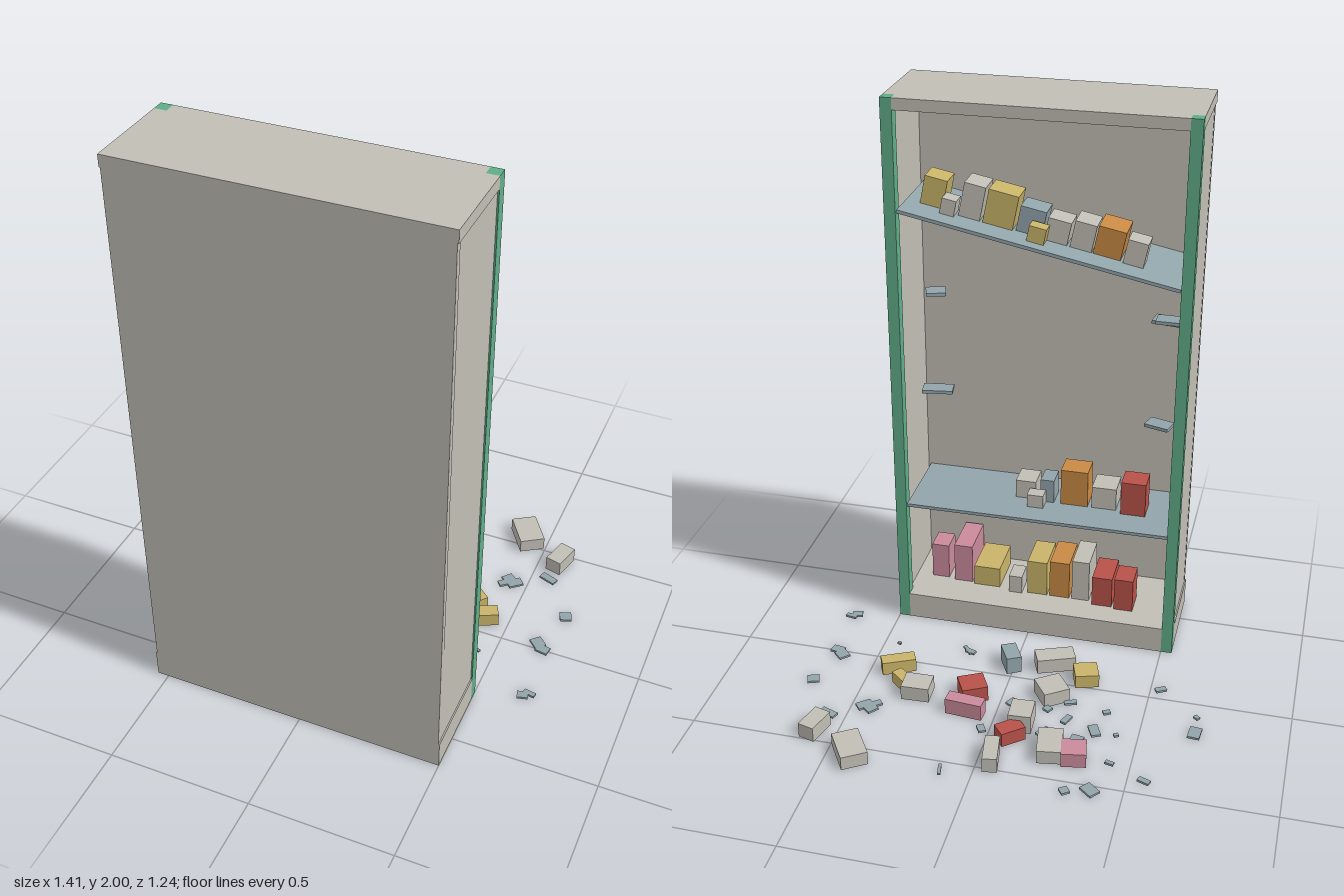
import * as THREE from 'three';

const mat = (name, hex) => Object.assign(new THREE.MeshStandardMaterial({ color: hex }), { name });

export function createModel() {
  const root = new THREE.Group();
  root.name = 'brokenCabinet';
  const M = {
    grey: mat('warmGrey', 0xc1beb5), green: mat('postGreen', 0x60ad87), glass: mat('glassBlue', 0x92a5ab),
    pink: mat('boxPink', 0xca8a9c), red: mat('boxRed', 0xb8524a), yellow: mat('boxYellow', 0xc9b469),
    orange: mat('boxOrange', 0xc98a45),
  };
  const group = (name, parent = root) => {
    const g = new THREE.Group();
    g.name = name;
    parent.add(g);
    return g;
  };
  // Box from its minimum and maximum corners
  const box = (parent, name, m, x0, x1, y0, y1, z0, z1) => {
    const mesh = new THREE.Mesh(new THREE.BoxGeometry(x1 - x0, y1 - y0, z1 - z0), M[m]);
    mesh.position.set((x0 + x1) / 2, (y0 + y1) / 2, (z0 + z1) / 2);
    mesh.name = name;
    parent.add(mesh);
    return mesh;
  };

  // Cabinet: the open side faces -z, the plain back panel faces +z
  const L = -0.54, R = 0.5, P = 0.04, Z0 = 0.275, Z1 = 0.622;
  const cabinet = group('cabinet');
  // Slab with its two open-side corners cut out for the posts
  const slab = (name, y0, y1) => {
    const pts = [[L + P, Z0], [R - P, Z0], [R - P, Z0 + P], [R, Z0 + P], [R, Z1], [L, Z1], [L, Z0 + P], [L + P, Z0 + P]];
    const shape = new THREE.Shape(pts.map(([x, z]) => new THREE.Vector2(x, -z)));
    const geo = new THREE.ExtrudeGeometry(shape, { depth: y1 - y0, bevelEnabled: false });
    const mesh = new THREE.Mesh(geo.rotateX(-Math.PI / 2), M.grey);
    mesh.position.y = y0;
    mesh.name = name;
    cabinet.add(mesh);
  };
  slab('plinth', 0, 0.1);
  slab('topSlab', 1.96, 2);
  box(cabinet, 'backPanel', 'grey', L + 0.004, R - 0.004, 0.1, 1.96, 0.6, Z1);
  box(cabinet, 'rightSidePanel', 'grey', L + 0.005, L + 0.03, 0.1, 1.96, Z0 + P - 0.004, 0.6);
  box(cabinet, 'leftSidePanel', 'grey', R - 0.03, R - 0.005, 0.1, 1.96, Z0 + P - 0.004, 0.6);
  box(cabinet, 'rightPost', 'green', L, L + P, 0, 2, Z0, Z0 + P);
  box(cabinet, 'leftPost', 'green', R - P, R, 0, 2, Z0, Z0 + P);

  // Row of boxes on a shelf: colour, x left, x right, height, z of the open side, depth
  const stock = (parent, rows, y = 0) => rows.forEach(([m, a, b, h, z, d]) =>
    box(parent, 'stockBox', m, b, a, y, y + h, z, z + d));

  // Tilted upper shelf and its contents share one tilted frame
  const upper = group('upperShelf');
  upper.position.set(-0.02, 1.526, 0);
  upper.rotation.z = Math.atan2(0.192, 0.96);
  box(upper, 'upperGlass', 'glass', -0.488, 0.488, -0.012, 0, 0.285, 0.598);
  stock(upper, [
    ['yellow', 0.44, 0.36, 0.1, 0.395, 0.09],
    ['grey', 0.36, 0.31, 0.055, 0.355, 0.06],
    ['grey', 0.3, 0.225, 0.12, 0.38, 0.1],
    ['yellow', 0.215, 0.11, 0.12, 0.38, 0.1],
    ['blue', 0.1, 0.01, 0.09, 0.39, 0.09],
    ['yellow', 0.05, -0.01, 0.055, 0.33, 0.05],
    ['grey', 0, -0.08, 0.08, 0.38, 0.09],
    ['grey', -0.09, -0.165, 0.095, 0.38, 0.1],
    ['orange', -0.17, -0.265, 0.1, 0.38, 0.12],
    ['grey', -0.275, -0.345, 0.085, 0.37, 0.08],
  ].map(([m, ...r]) => [m === 'blue' ? 'glass' : m, ...r]));

  // Level lower shelf
  const lower = group('lowerShelf');
  box(lower, 'lowerGlass', 'glass', L + P, R - P, 0.478, 0.49, 0.285, 0.598);
  stock(lower, [
    ['grey', 0.085, 0.01, 0.07, 0.43, 0.09],
    ['grey', 0.03, -0.03, 0.05, 0.37, 0.05],
    ['glass', -0.01, -0.06, 0.09, 0.42, 0.08],
    ['orange', -0.085, -0.185, 0.14, 0.42, 0.09],
    ['grey', -0.2, -0.29, 0.085, 0.42, 0.1],
    ['red', -0.31, -0.4, 0.13, 0.4, 0.09],
  ], 0.49);

  // Cabinet floor
  stock(group('floorStock'), [
    ['pink', 0.41, 0.345, 0.14, 0.42, 0.09],
    ['pink', 0.32, 0.25, 0.155, 0.41, 0.17],
    ['yellow', 0.24, 0.14, 0.08, 0.4, 0.17],
    ['grey', 0.1, 0.05, 0.07, 0.38, 0.08],
    ['yellow', 0.03, -0.045, 0.14, 0.39, 0.15],
    ['orange', -0.055, -0.13, 0.15, 0.39, 0.15],
    ['grey', -0.14, -0.205, 0.165, 0.39, 0.15],
    ['red', -0.22, -0.295, 0.12, 0.37, 0.14],
    ['red', -0.305, -0.375, 0.13, 0.36, 0.1],
  ], 0.1);

  // Glass remnants hanging on the supports of the missing shelves
  const remnants = group('shelfRemnants');
  [[0.38, 1.27, 0.45, 0.07], [0.38, 0.89, 0.45, 0.11], [-0.45, 1.26, 0.42, 0.09],
    [-0.43, 1.21, 0.53, 0.1], [-0.43, 0.85, 0.44, 0.09]].forEach(([x, y, z, w], i) => {
    const m = box(remnants, 'glassRemnant', 'glass', -w / 2, w / 2, -0.006, 0.006, -0.03, 0.03);
    m.position.set(x, y, z);
    m.rotation.y = 0.3 - 0.15 * i;
  });

  // Item on the ground: centre, size, heading in degrees
  const drop = (parent, name, m, x, z, w, d, deg, h) => {
    const mesh = box(parent, name, m, -w / 2, w / 2, 0, h, -d / 2, d / 2);
    mesh.position.set(x, h / 2, z);
    mesh.rotation.y = -deg * Math.PI / 180;
  };
  const fallen = group('fallenBoxes');
  [
    ['grey', 0.42, -0.54, 0.132, 0.092, 57, 0.05],
    ['grey', 0.577, -0.45, 0.103, 0.06, 105, 0.055],
    ['grey', -0.045, -0.455, 0.12, 0.05, 81, 0.055],
    ['grey', -0.225, -0.365, 0.125, 0.085, 81, 0.05],
    ['pink', -0.31, -0.385, 0.085, 0.08, -10, 0.053],
    ['red', -0.078, -0.33, 0.09, 0.06, -40, 0.052],
    ['grey', -0.1, -0.25, 0.08, 0.092, -3, 0.07],
    ['pink', 0.104, -0.235, 0.132, 0.05, 5, 0.06],
    ['red', 0.104, -0.135, 0.092, 0.085, -28, 0.058],
    ['grey', 0.295, -0.173, 0.1, 0.083, -2, 0.055],
    ['yellow', 0.355, -0.145, 0.09, 0.04, 40, 0.045],
    ['yellow', 0.403, -0.053, 0.122, 0.05, -26, 0.05],
    ['grey', -0.168, -0.077, 0.098, 0.095, 55, 0.055],
    ['yellow', -0.267, 0.04, 0.085, 0.08, -18, 0.05],
    ['grey', -0.142, 0.097, 0.14, 0.07, -22, 0.055],
    ['glass', 0.013, 0.063, 0.09, 0.055, 62, 0.065],
  ].forEach((r) => drop(fallen, 'fallenBox', ...r));

  // Broken glass scattered on the ground, in hundredths of a unit
  const shards = group('glassShards');
  [
    [-55.5, -44, 4.2, 2, 20], [-43, -38, 3, 1.5, 15], [-39.2, -52.5, 5.5, 4.2, 40], [-31.2, -54.7, 3, 3, 55],
    [10.8, -54.4, 4.8, 1.1, 80], [-42.6, -23.5, 1.7, 1.4, -30], [-35, -23, 3.4, 5.6, -25], [-30, -29, 4.4, 4, 10],
    [-18.4, -27.8, 3, 5.2, 35], [2.8, -31, 2.6, 3.6, -30], [-24.5, -19.4, 2.2, 4.6, 22], [-17, -15.3, 2.6, 2.6, 30],
    [-24, -10, 4.5, 2, -20], [-4.7, -15, 4, 3.8, 30], [-37.3, -12.3, 2.6, 1.9, -30], [-68.4, -16.1, 4.2, 5.6, 5],
    [-68, -7.8, 2, 1.5, 40], [-53.6, 4.7, 4, 2.2, -30], [56.3, -35.4, 6.2, 2.8, 20], [43.5, -29, 5.5, 4.2, 40],
    [45.5, -28.3, 5.5, 3.6, -40], [42, -27, 4.6, 2.6, -40], [68, -18.7, 4.2, 3.8, -20], [62.8, -2.4, 4.5, 4.2, 45],
    [65.3, 0, 4.5, 3.4, 10],
    [44.5, 9.2, 1.4, 1, 20], [17.6, 10.4, 3.8, 2, 20], [18.8, 11, 5, 1.3, 50],
    [65.5, 23, 3.8, 2.8, -15], [67.4, 21.4, 4.2, 1.8, 10],
  ].forEach(([x, z, w, d, a]) => drop(shards, 'glassShard', 'glass', x / 100, z / 100, w / 100, d / 100, a, 0.008));
  return root;
}
